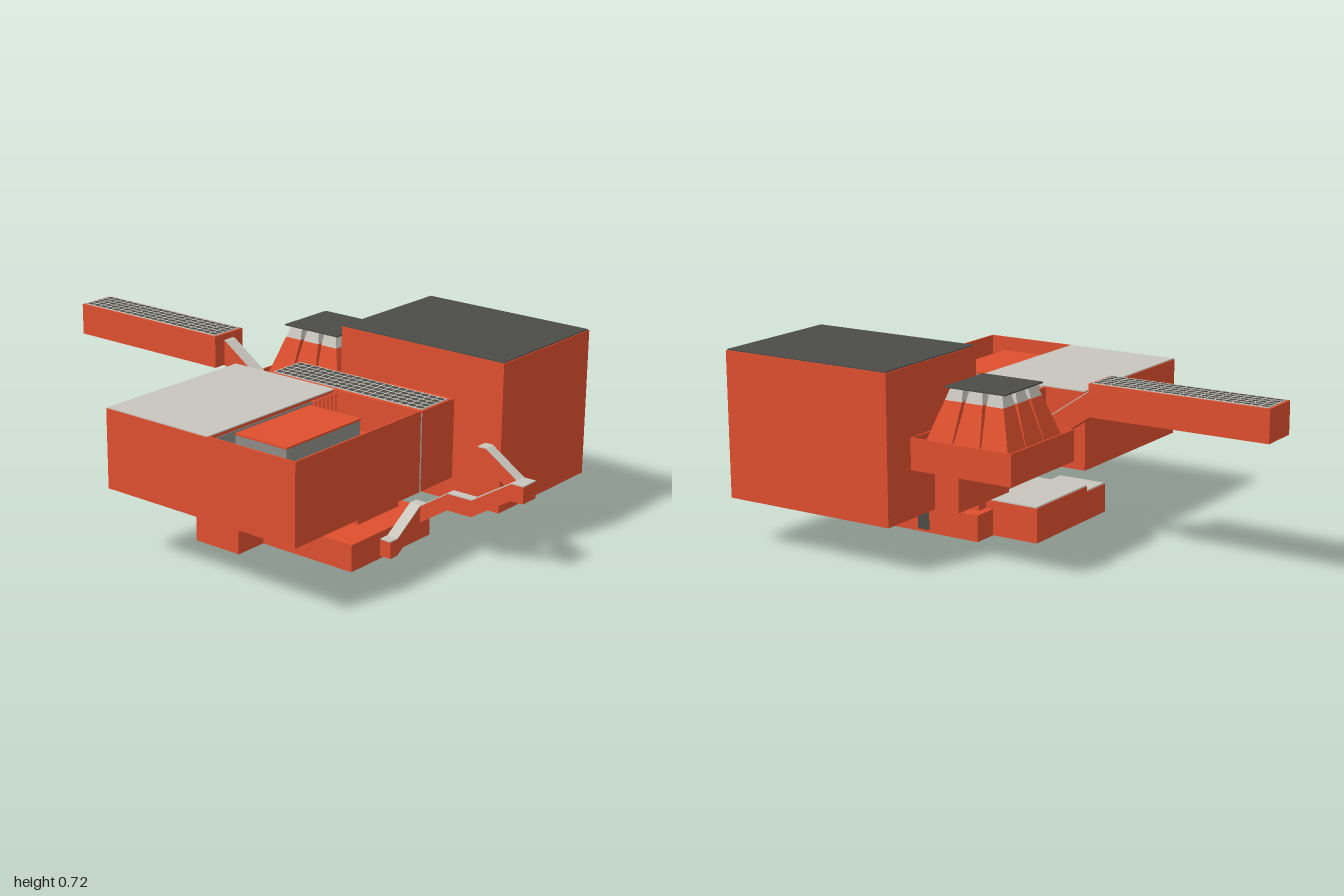
import * as THREE from 'three';

const mat = (color) => new THREE.MeshStandardMaterial({ color, flatShading: true });
const red = mat(0xde4f2e), pale = mat(0xc8c5bd), dark = mat(0x4b4b48), glass = mat(0x8c8b86);

export function createModel() {
  const model = new THREE.Group();

  const add = (name, geo, material, parent = model) => {
    const m = new THREE.Mesh(geo, material);
    m.name = name;
    parent.add(m);
    return m;
  };
  const group = (name) => {
    const g = new THREE.Group();
    g.name = name;
    model.add(g);
    return g;
  };
  // Box given by its extents
  const box = (name, [x0, x1], [y0, y1], [z0, z1], material = red, parent = model) => {
    const geo = new THREE.BoxGeometry(x1 - x0, y1 - y0, z1 - z0);
    geo.translate((x0 + x1) / 2, (y0 + y1) / 2, (z0 + z1) / 2);
    return add(name, geo, material, parent);
  };
  // Box whose top is a different rectangle from its bottom: [x0, x1, z0, z1]
  const taper = (name, bottom, y0, top, y1, material, parent) => {
    const geo = new THREE.BoxGeometry(1, 1, 1);
    const p = geo.attributes.position;
    for (let i = 0; i < p.count; i++) {
      const up = p.getY(i) > 0, r = up ? top : bottom;
      p.setXYZ(i, p.getX(i) < 0 ? r[0] : r[1], up ? y1 : y0, p.getZ(i) < 0 ? r[2] : r[3]);
    }
    geo.computeVertexNormals();
    return add(name, geo, material, parent);
  };
  // Enclosed stair: a path of [run, floorHeight] thickened upward, with a pale roof strip
  const stair = (name, path, height, a, b, alongX = false) => {
    const g = group(name);
    const ribbon = (part, lo, hi, material) => {
      const pts = [...path.map(([r, y]) => [r, y + lo]), ...path.map(([r, y]) => [r, y + hi]).reverse()];
      const shape = new THREE.Shape(pts.map(([r, y]) => new THREE.Vector2(r, y)));
      const geo = new THREE.ExtrudeGeometry(shape, { depth: b - a, bevelEnabled: false });
      if (alongX) geo.translate(0, 0, a);
      else geo.rotateY(-Math.PI / 2).translate(b, 0, 0);
      add(part, geo, material, g);
    };
    ribbon('stairWalls', 0, height - 0.004, red);
    ribbon('stairRoof', height - 0.004, height, pale);
  };
  // Long volume with a gridded skylight on top
  const skylight = (name, [x0, x1], [y0, y1], [z0, z1]) => {
    const g = group(name);
    box('skylightWalls', [x0, x1], [y0, y1 - 0.003], [z0, z1], red, g);
    const e = 0.011, X0 = x0 + e, X1 = x1 - e, Z0 = z0 + e, Z1 = z1 - e, w = 0.002;
    box('skylightGlass', [X0, X1], [y1 - 0.003, y1 - 0.001], [Z0, Z1], dark, g);
    for (let i = 0; i <= 5; i++) {
      const x = X0 + (X1 - X0) * i / 5;
      box('glazingBar', [x - w, x + w], [y1 - 0.003, y1], [Z0, Z1], pale, g);
    }
    for (let i = 0; i <= 20; i++) {
      const z = Z0 + (Z1 - Z0) * i / 20;
      box('glazingBar', [X0, X1], [y1 - 0.003, y1], [z - w, z + w], pale, g);
    }
  };

  // Tall block
  box('tallBlock', [0.16, 0.695], [0.175, 0.716], [0.15, 0.85]);
  box('tallBlockRoof', [0.164, 0.691], [0.716, 0.72], [0.154, 0.846], dark);

  // Wide block with a walled terrace at the front
  const L = -0.695, R = -0.033, t = 0.006;
  box('wideBlock', [L, R], [0.26, 0.551], [-0.19, 0.275]);
  box('wideBlockRoof', [L + 0.003, R], [0.551, 0.555], [-0.187, 0.275], pale);
  box('terraceFloor', [L, R], [0.26, 0.43], [0.275, 0.65]);
  box('terraceSideWall', [L, L + t], [0.43, 0.555], [0.275, 0.65]);
  box('terraceSideWall', [R - t, R], [0.43, 0.555], [0.275, 0.65]);
  box('terraceFrontWall', [L, R], [0.43, 0.555], [0.65 - t, 0.65]);
  box('terraceGlazing', [L + t, R - t], [0.43, 0.54], [0.275, 0.278], glass);
  box('terraceRoom', [-0.56, -0.175], [0.43, 0.525], [0.275, 0.5], glass);
  box('terraceRoomRoof', [-0.562, -0.173], [0.525, 0.532], [0.275, 0.502]);
  for (let i = 0; i < 6; i++) {
    const x = -0.16 + i * 0.022;
    box('terraceFin', [x, x + 0.006], [0.43, 0.545], [0.275, 0.292]);
  }

  // Skylit galleries and the links between blocks
  skylight('centralGallery', [-0.025, 0.142], [0.26, 0.555], [-0.03, 0.65]);
  skylight('rearGallery', [-0.015, 0.137], [0.51, 0.632], [-1, -0.305]);
  box('frontLink', [0.135, 0.165], [0.26, 0.55], [0.38, 0.65]);
  box('galleryJoint', [R, -0.02], [0.26, 0.54], [0.0, 0.65], pale);
  box('rearLink', [0.13, 0.185], [0.37, 0.45], [0.02, 0.065]);
  box('middleLink', [0.13, 0.165], [0.3, 0.42], [0.15, 0.2]);
  box('rearLanding', [R, 0.085], [0.34, 0.44], [-0.075, -0.02], pale);

  // Tray under the pleated tower
  const tx = [0.16, 0.56], tz = [-0.262, 0.15];
  box('towerTray', tx, [0.35, 0.41], tz);
  box('trayWall', [tx[0], tx[0] + t], [0.41, 0.465], tz);
  box('trayWall', [tx[1] - t, tx[1]], [0.41, 0.465], tz);
  box('trayWall', tx, [0.41, 0.465], [tz[0], tz[0] + t]);
  box('trayWall', tx, [0.41, 0.465], [tz[1] - t, tz[1]]);
  box('towerFoot', [0.1, 0.42], [0.175, 0.36], [0.05, 0.16]);

  // Pleated tower: three tapering panels a side, pale glazed tips, flat roof
  const tower = group('pleatedTower');
  tower.position.set(0.365, 0, -0.063);
  const sq = (h) => [-h, h, -h, h];
  taper('towerCore', sq(0.155), 0.41, sq(0.1), 0.6, red, tower);
  taper('towerCoreTop', sq(0.1), 0.6, sq(0.085), 0.64, glass, tower);
  for (let side = 0; side < 4; side++) {
    const face = new THREE.Group();
    face.name = 'towerSide';
    face.rotation.y = side * Math.PI / 2;
    tower.add(face);
    for (let i = -1; i <= 1; i++) {
      const b = 0.122 * i, m = 0.085 * i, n = 0.08 * i;
      taper('towerPanel', [b - 0.06, b + 0.06, 0.1, 0.183], 0.41, [m - 0.035, m + 0.035, 0.06, 0.12], 0.595, red, face);
      taper('panelTip', [m - 0.035, m + 0.035, 0.06, 0.12], 0.595, [n - 0.026, n + 0.026, 0.05, 0.106], 0.638, pale, face);
    }
  }
  box('towerRoof', [-0.12, 0.12], [0.638, 0.643], [-0.125, 0.123], dark, tower);

  // Base, pier and low rooms
  box('base', [-0.25, 0.2], [0, 0.1], [0.12, 0.53]);
  box('pier', [-0.09, 0.145], [0.1, 0.262], [0.15, 0.43]);
  box('lowRoom', [-0.25, 0.1], [0, 0.131], [-0.07, 0.15]);
  box('lowRoomRoof', [-0.247, 0.097], [0.131, 0.136], [-0.067, 0.147], pale);
  box('sideRoom', [-0.382, -0.25], [0, 0.11], [-0.07, 0.13]);
  box('sideRoomRoof', [-0.379, -0.25], [0.11, 0.115], [-0.067, 0.127], pale);
  box('baseWindow', [0.199, 0.202], [0.01, 0.08], [0.335, 0.385], dark);

  // Enclosed stairs
  stair('rearStair', [[-0.31, 0.51], [-0.295, 0.505], [-0.075, 0.355], [-0.03, 0.345]], 0.098, 0.035, 0.086);
  box('frontLanding', [0.08, 0.155], [0.27, 0.331], [0.95, 1]);
  box('frontLandingRoof', [0.08, 0.155], [0.331, 0.335], [0.95, 1], pale);
  stair('upperStair', [[0.785, 0.355], [0.82, 0.355], [0.95, 0.27]], 0.065, 0.116, 0.157);
  box('upperStairDoor', [0.116, 0.165], [0.355, 0.42], [0.785, 0.82], pale);
  stair('lowerStair', [[0.535, 0.095], [0.575, 0.095], [0.69, 0.17], [0.79, 0.17], [0.95, 0.27]], 0.065, 0.08, 0.116);
  stair('entranceStair', [[-0.09, 0.01], [-0.05, 0.01], [0.08, 0.095], [0.116, 0.095]], 0.065, 0.53, 0.575, true);

  return model;
}
